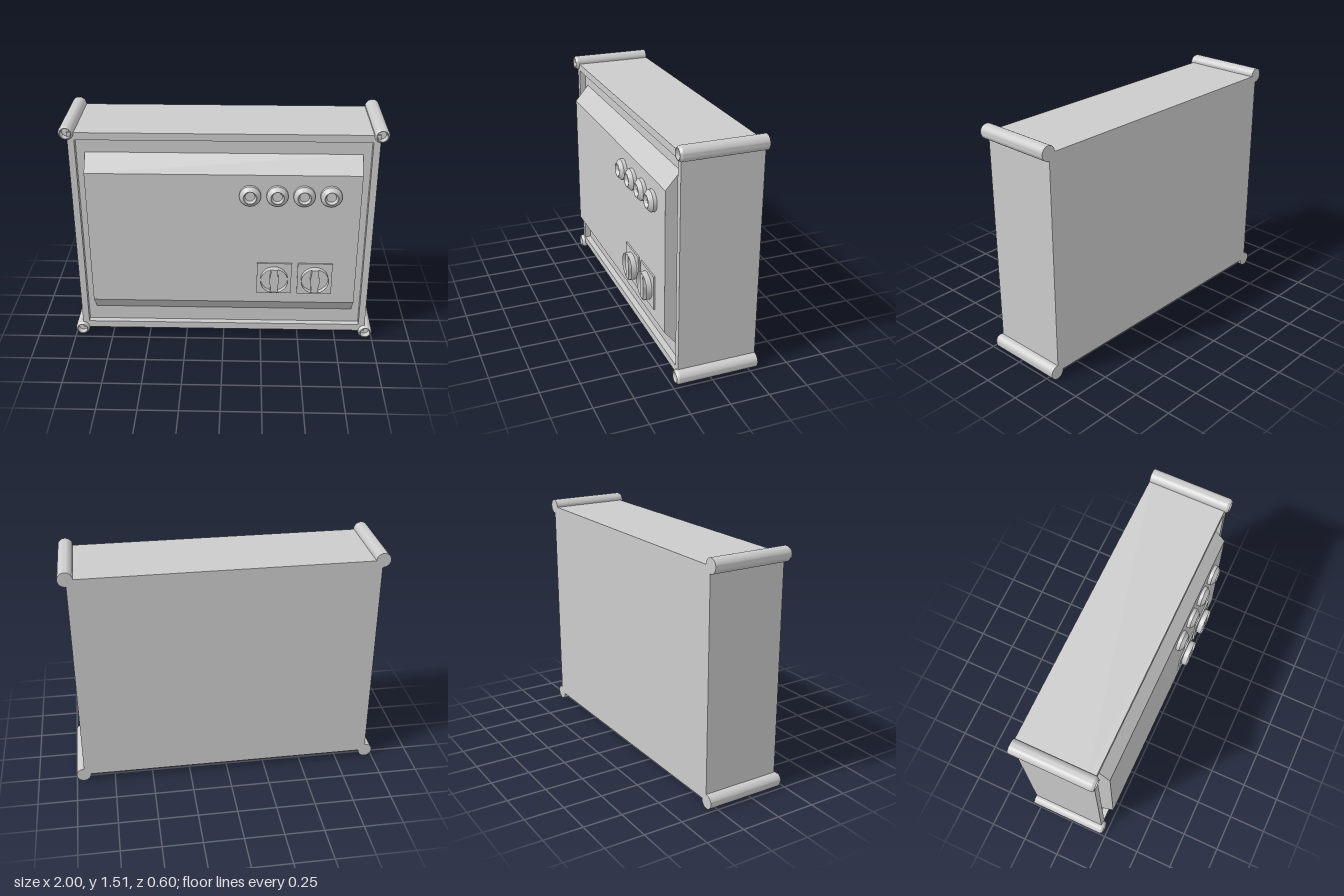
import * as THREE from 'three';
import { toCreasedNormals } from 'three/addons/utils/BufferGeometryUtils.js';

const grey = new THREE.MeshStandardMaterial({ color: 0xcccccc });
const thin = new THREE.MeshStandardMaterial({ color: 0xcccccc, side: THREE.DoubleSide });

function add(parent, name, geometry, x, y, z, material = grey) {
  const mesh = new THREE.Mesh(geometry, material);
  mesh.name = name;
  mesh.position.set(x, y, z);
  parent.add(mesh);
  return mesh;
}

// Turned part whose axis runs along z; points are [radius, z]
function turned(points, sides = 32) {
  const lathe = new THREE.LatheGeometry(points.map(([r, z]) => new THREE.Vector2(r, z)), sides);
  return toCreasedNormals(lathe.rotateX(Math.PI / 2), 0.5);
}

function rectangle(path, w, h) {
  path.moveTo(-w / 2, -h / 2).lineTo(w / 2, -h / 2).lineTo(w / 2, h / 2).lineTo(-w / 2, h / 2).closePath();
  return path;
}

const extrude = (shape, depth) =>
  new THREE.ExtrudeGeometry(shape, { depth, bevelEnabled: false, curveSegments: 8 });

export function createModel() {
  const model = new THREE.Group();
  model.name = 'controlBox';
  const midY = 0.757, floorZ = 0.165, panelZ = 0.255;

  // Housing with a raised rim around the recessed front
  add(model, 'housing', new THREE.BoxGeometry(1.9, 1.415, floorZ + 0.3), 0, midY, (floorZ - 0.3) / 2);
  const rim = rectangle(new THREE.Shape(), 1.9, 1.415);
  rim.holes.push(rectangle(new THREE.Path(), 1.815, 1.32));
  add(model, 'frontRim', extrude(rim, 0.04), 0, midY, floorZ);

  // Front panel with sloping top and bottom
  const profile = new THREE.Shape();
  profile.moveTo(floorZ, 0.195).lineTo(panelZ, 0.303).lineTo(panelZ, 1.217).lineTo(floorZ, 1.322).closePath();
  add(model, 'frontPanel', extrude(profile, 1.71), 0.855, 0, 0).rotation.y = -Math.PI / 2;

  // Corner posts with a hollow front end
  const post = turned([[0, -0.3], [0.046, -0.3], [0.046, 0.212], [0.036, 0.228], [0.032, 0.228],
    [0.028, 0.19], [0, 0.19]]);
  for (const x of [-0.954, 0.954])
    for (const y of [0.046, 1.465]) add(model, 'cornerPost', post, x, y, 0);

  // Row of round push buttons
  const button = turned([[0.067, 0], [0.067, 0.022], [0.042, 0.045], [0.039, 0.045],
    [0.03, 0.025], [0, 0.025]]);
  for (const x of [0.166, 0.335, 0.501, 0.667]) add(model, 'pushButton', button, x, 1.082, panelZ);

  // Rotary switches: square plate, thin collar and a waisted grip
  const plate = new THREE.BoxGeometry(0.223, 0.223, 0.01);
  const collar = new THREE.CylinderGeometry(0.088, 0.088, 0.035, 40, 1, true).rotateX(Math.PI / 2);
  const grip = new THREE.Shape();
  grip.moveTo(-0.024, -0.083);
  grip.lineTo(0.024, -0.083);
  grip.bezierCurveTo(0.018, -0.04, 0.03, -0.03, 0.03, 0);
  grip.bezierCurveTo(0.03, 0.03, 0.018, 0.04, 0.024, 0.083);
  grip.lineTo(-0.024, 0.083);
  grip.bezierCurveTo(-0.018, 0.04, -0.03, 0.03, -0.03, 0);
  grip.bezierCurveTo(-0.03, -0.03, -0.018, -0.04, -0.024, -0.083);
  const gripGeometry = toCreasedNormals(extrude(grip, 0.035), 0.6);
  for (const x of [0.329, 0.591]) {
    const rotary = new THREE.Group();
    rotary.name = 'rotarySwitch';
    rotary.position.set(x, 0.488, panelZ);
    add(rotary, 'switchPlate', plate, 0, 0, 0.005);
    add(rotary, 'switchCollar', collar, 0, 0, 0.0275, thin);
    add(rotary, 'switchGrip', gripGeometry, 0, 0, 0.01);
    model.add(rotary);
  }
  return model;
}
